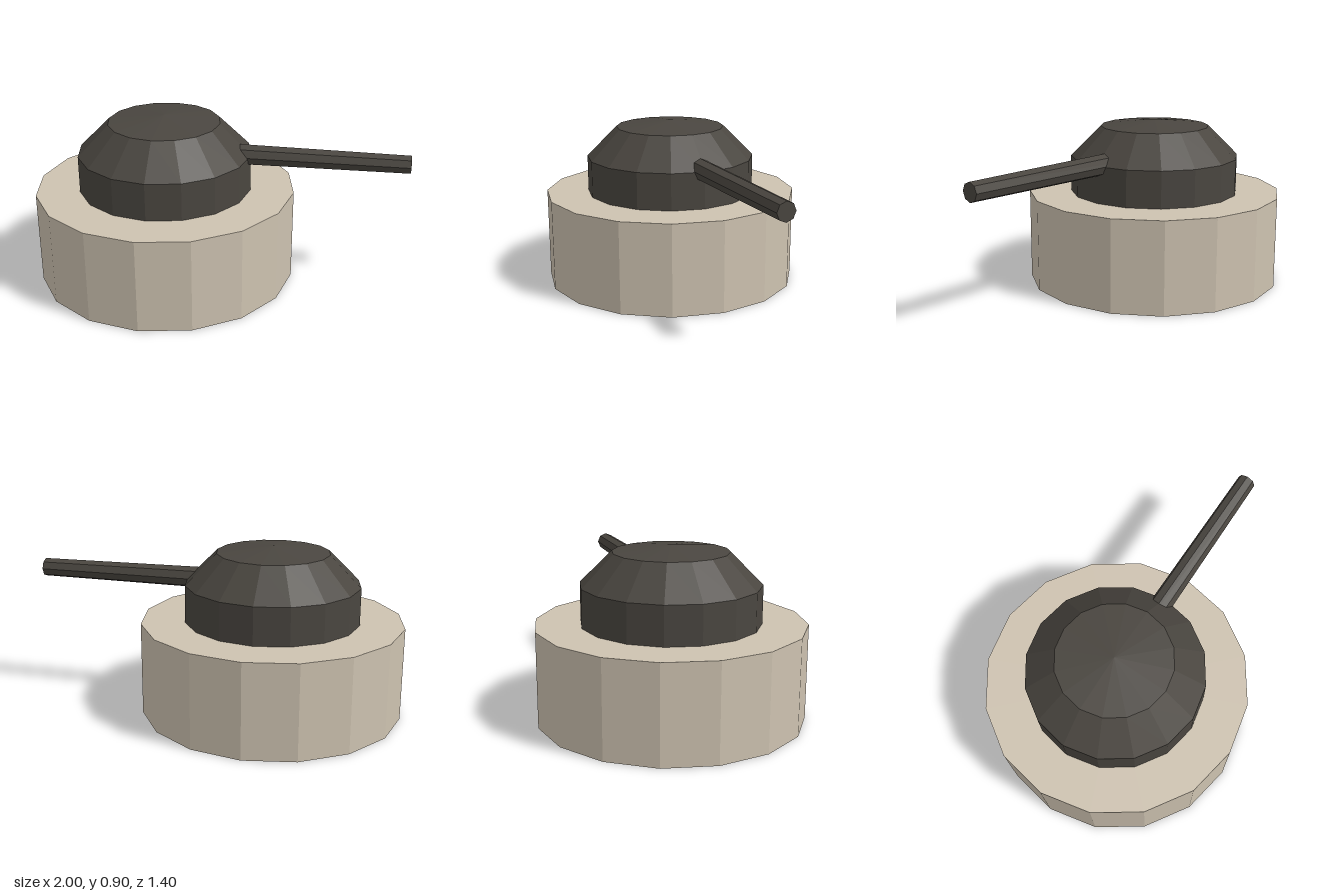
import * as THREE from 'three';

const SIDES = 16;
const CENTRE_X = -0.3;

const paint = (color) => new THREE.MeshStandardMaterial({ color, flatShading: true });

function part(name, geometry, material, x, y) {
  const mesh = new THREE.Mesh(geometry, material);
  mesh.name = name;
  mesh.position.set(x, y, 0);
  return mesh;
}

export function createModel() {
  const group = new THREE.Group();
  group.name = 'turret';
  const stone = paint(0xcdc2b0);
  const iron = paint(0x4a4640);

  // Wide drum base
  group.add(part('base', new THREE.CylinderGeometry(0.7, 0.7, 0.5, SIDES), stone, CENTRE_X, 0.25));

  // Faceted dome: straight wall, sloped shoulder, shallow cap
  const profile = [[0, 0], [0.466, 0], [0.466, 0.2], [0.3, 0.366], [0, 0.4]]
    .map(([r, y]) => new THREE.Vector2(r, y));
  group.add(part('dome', new THREE.LatheGeometry(profile, SIDES), iron, CENTRE_X, 0.5));

  // Slightly tapered barrel running from the dome's middle out to +x
  const barrel = new THREE.CylinderGeometry(0.05, 0.06, 1.3, 8).rotateZ(-Math.PI / 2);
  group.add(part('barrel', barrel, iron, 0.35, 0.703));

  return group;
}
